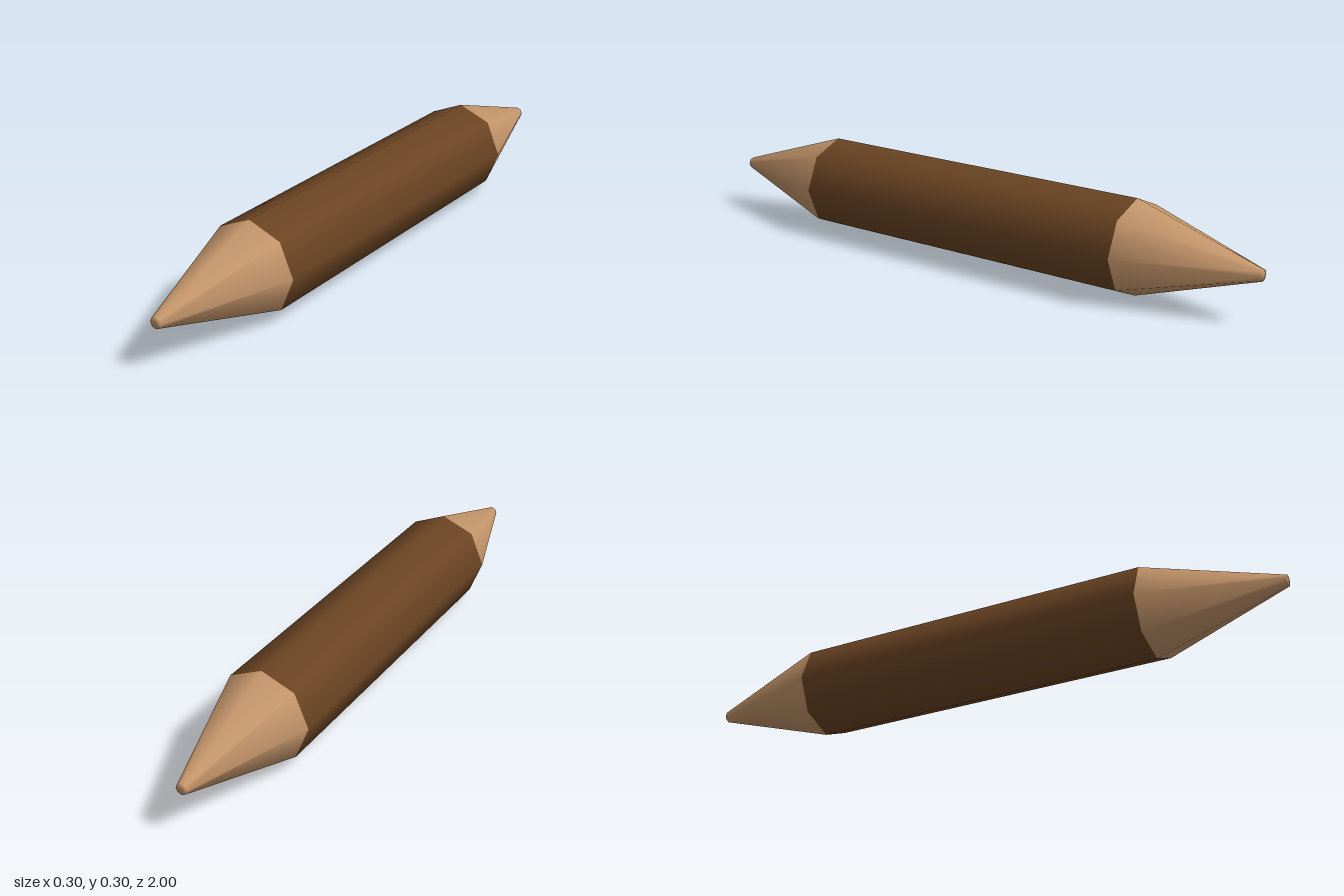
import * as THREE from 'three';

const SIDES = 8, RADIUS = 0.148, TIP_RADIUS = 0.018, SHOULDER = 0.588, HALF = 1;

export function createModel() {
  const bark = new THREE.MeshStandardMaterial({ color: 0x6b4423 });
  bark.name = 'dark brown bark';
  const wood = new THREE.MeshStandardMaterial({ color: 0xc4956a });
  wood.name = 'pale cut wood';

  const stake = new THREE.Group();
  stake.name = 'stake';

  // Octagonal shaft lying along z, corners on the axes
  const shaftGeometry = new THREE.CylinderGeometry(RADIUS, RADIUS, SHOULDER * 2, SIDES, 1, true);
  shaftGeometry.rotateX(Math.PI / 2);
  const shaft = new THREE.Mesh(shaftGeometry, bark);
  shaft.name = 'shaft';
  stake.add(shaft);

  // Sharpened end with a small blunt, softly shaded tip
  const profile = [[RADIUS, SHOULDER], [TIP_RADIUS, HALF], [0, HALF]]
    .map(([r, z]) => new THREE.Vector2(r, z));
  const pointGeometry = new THREE.LatheGeometry(profile, SIDES);
  pointGeometry.rotateX(Math.PI / 2);

  // The same point closes both ends
  for (const [name, turn] of [['frontPoint', 0], ['backPoint', Math.PI]]) {
    const point = new THREE.Mesh(pointGeometry, wood);
    point.name = name;
    point.rotation.y = turn;
    stake.add(point);
  }

  stake.position.y = RADIUS;
  const model = new THREE.Group();
  model.name = 'sharpenedStake';
  model.add(stake);
  return model;
}
